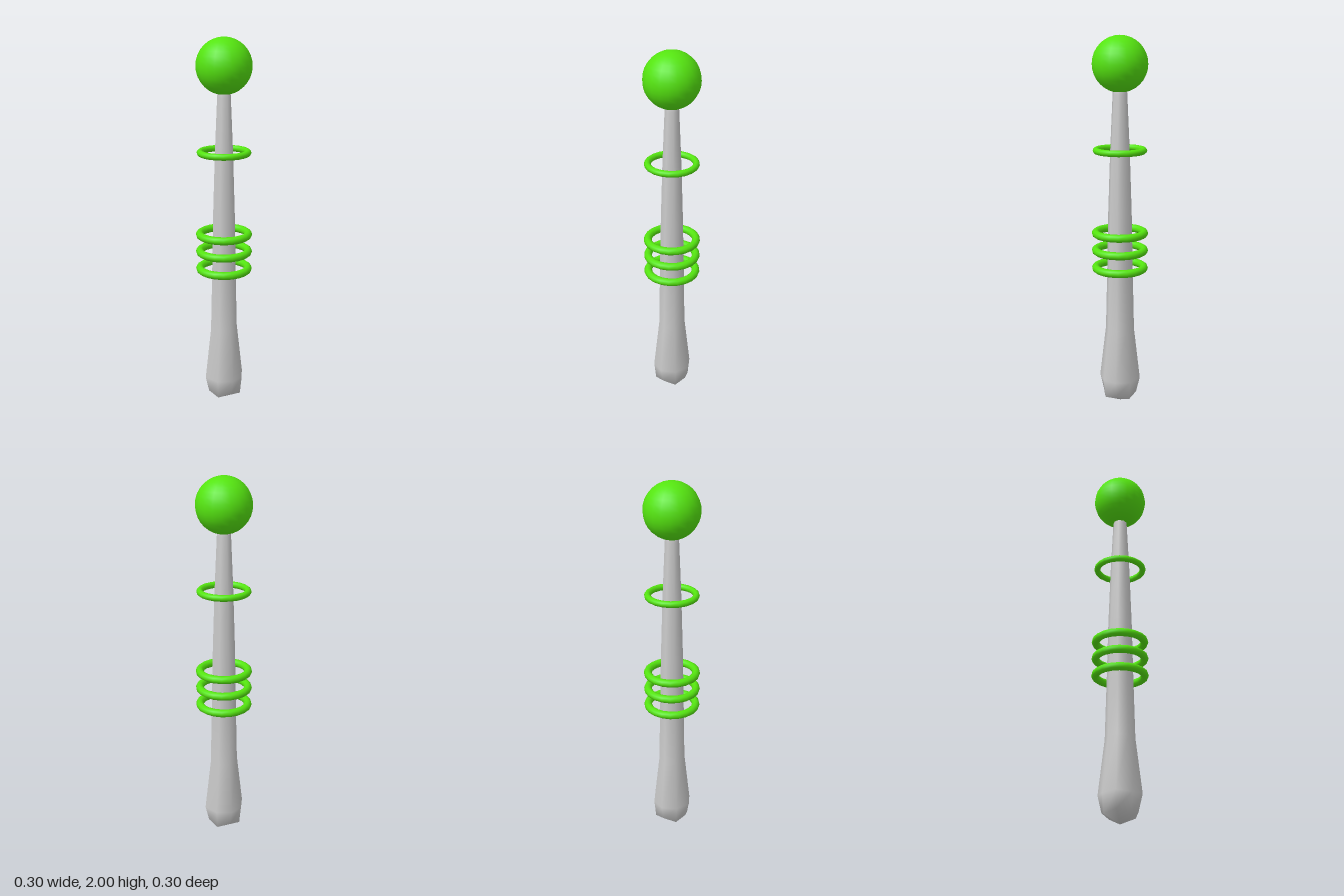
import * as THREE from 'three';

const grey = new THREE.MeshStandardMaterial({ color: 0xcccccc });
const green = new THREE.MeshStandardMaterial({ color: 0x55e510 });

// Shaft rings, bottom to top: height and radius at the side middles, height and radius at the corners
const SECTIONS = [
  [0.04, 0.095, 0.058, 0.092],
  [0.14, 0.105, 0.145, 0.113],
  [0.43, 0.073, 0.43, 0.079],
  [0.75, 0.067, 0.75, 0.071],
  [1.08, 0.060, 1.08, 0.064],
  [1.40, 0.050, 1.40, 0.053],
  [1.70, 0.037, 1.70, 0.039],
  [1.76, 0.034, 1.76, 0.036],
];

// Eight-sided rounded-square shaft with a shallow pointed base
function shaftGeometry() {
  const N = 8, pos = [], index = [];
  for (const [yMid, rMid, yCorner, rCorner] of SECTIONS) {
    for (let j = 0; j < N; j++) {
      const a = (j / N) * Math.PI * 2, corner = j % 2 === 1;
      const r = corner ? rCorner : rMid;
      pos.push(r * Math.sin(a), corner ? yCorner : yMid, r * Math.cos(a));
    }
  }
  const last = (SECTIONS.length - 1) * N;
  const bottom = pos.length / 3, top = bottom + 1;
  pos.push(0, 0, 0, 0, 1.77, 0);
  for (let j = 0; j < N; j++) {
    const k = (j + 1) % N;
    for (let i = 0; i < last; i += N) {
      index.push(i + j, i + k, i + N + k, i + j, i + N + k, i + N + j);
    }
    index.push(bottom, k, j, last + j, last + k, top);
  }
  const g = new THREE.BufferGeometry();
  g.setAttribute('position', new THREE.Float32BufferAttribute(pos, 3));
  g.setIndex(index);
  g.computeVertexNormals();
  return g;
}

export function createModel() {
  const group = new THREE.Group();
  const add = (name, geometry, material, y = 0) => {
    const mesh = new THREE.Mesh(geometry, material);
    mesh.name = name;
    mesh.position.y = y;
    group.add(mesh);
  };

  add('shaft', shaftGeometry(), grey);

  // Ball on the tip
  add('tipBall', new THREE.SphereGeometry(0.145, 20, 16), green, 1.855);

  // Floating rings: height, outer radius, tube radius
  const rings = [
    [0.775, 0.151, 0.021],
    [0.872, 0.151, 0.021],
    [0.967, 0.151, 0.021],
    [1.411, 0.143, 0.017],
  ];
  rings.forEach(([y, outer, tube], i) => {
    const g = new THREE.TorusGeometry(outer - tube, tube, 10, 20).rotateX(Math.PI / 2);
    add(i < 3 ? 'lowerRing' + (i + 1) : 'upperRing', g, green, y);
  });

  return group;
}
